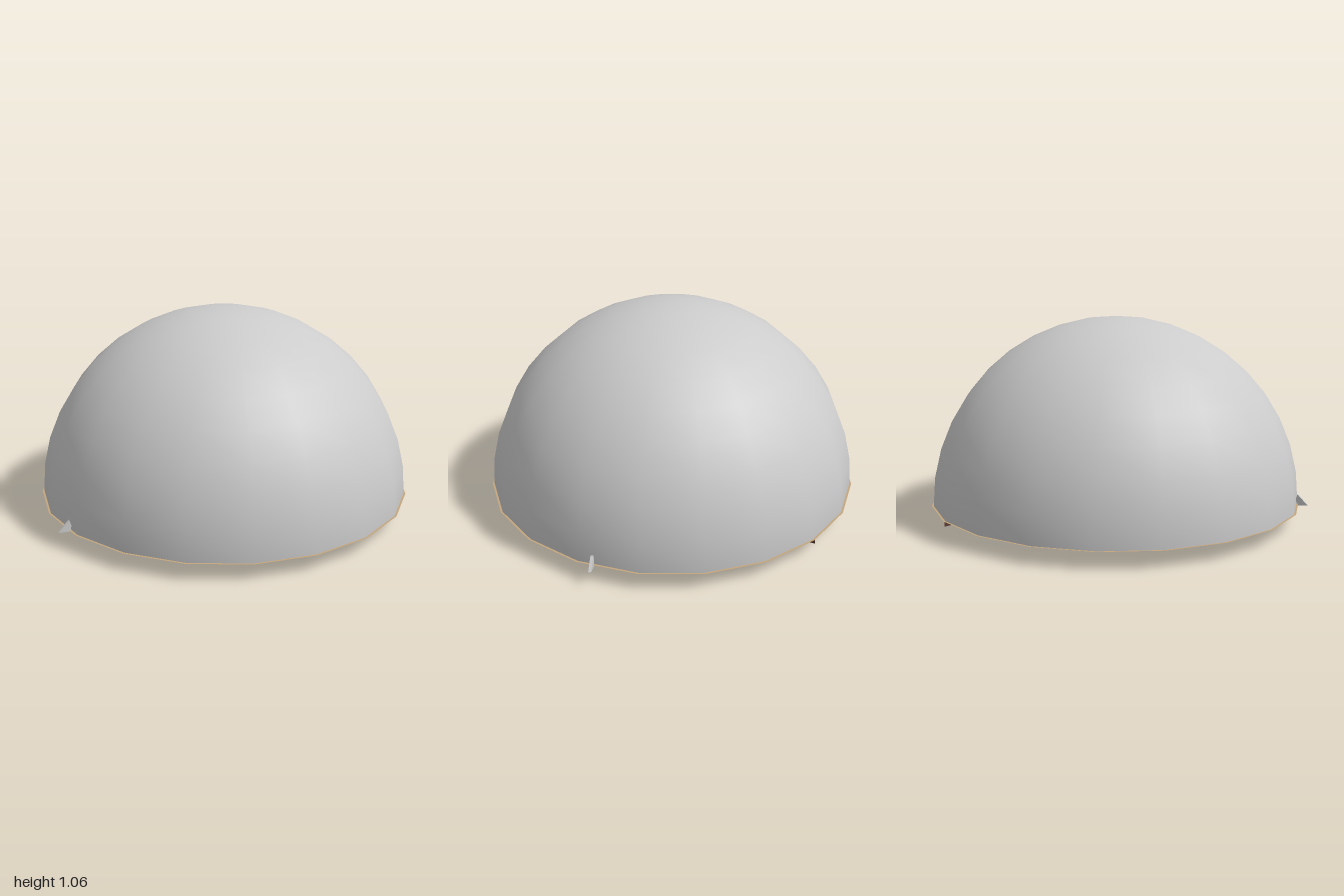
import * as THREE from 'three';

const BASE = 0.085; // height of the flat underside

function part(name, geometry, color = 0xcccccc, options = {}) {
  const material = new THREE.MeshStandardMaterial({ color, ...options });
  const mesh = new THREE.Mesh(geometry, material);
  mesh.name = name;
  return mesh;
}

const outline = (points) => new THREE.Shape(points.map(([x, y]) => new THREE.Vector2(x, y)));
const slab = (points, depth) =>
  new THREE.ExtrudeGeometry(outline(points), { depth, bevelEnabled: false });

export function createModel() {
  const model = new THREE.Group();
  model.name = 'dome';

  // smooth half sphere, 20 sides and 10 rings
  const shell = part('domeShell',
    new THREE.SphereGeometry(0.975, 20, 10, 0, Math.PI * 2, 0, Math.PI / 2));
  shell.position.y = BASE;
  model.add(shell);

  // thin base disc, slightly wider than the shell
  const disc = part('baseDisc', new THREE.CircleGeometry(0.985, 20), 0xc4a67c,
    { side: THREE.DoubleSide });
  disc.rotation.x = Math.PI / 2;
  disc.position.y = BASE;
  model.add(disc);

  // shallow blade across the underside, with pointed ends rising past the rim
  const blade = part('blade', slab([
    [-1, 0.08], [0.17, 0], [0.3, 0], [1, 0.08],
    [0.945, 0.135], [0.93, 0.09], [-0.93, 0.09], [-0.945, 0.135],
  ], 0.014), 0xcccccc, { flatShading: true });
  blade.position.z = 0.218;
  model.add(blade);

  // narrow ledge along the back of the blade's lower edge
  const ledge = part('bladeLedge', slab([
    [-0.7, 0.225], [-0.47, 0.185], [-0.24, 0.185], [0, 0.215], [0, 0.225],
  ], 0.012), 0xcccccc, { flatShading: true });
  ledge.rotation.x = Math.PI / 2;
  const p = ledge.geometry.attributes.position;
  // the ledge follows the slope of the lower edge
  for (let i = 0; i < p.count; i++) {
    p.setZ(i, p.getZ(i) - 0.024 - 0.068 * (0.17 - p.getX(i)) + 0.0);
  }
  ledge.geometry.computeVertexNormals();
  model.add(ledge);

  // dark bent strip lying on the underside, tapering to a point at the back
  const strip = part('bentStrip', slab([
    [0.57, -0.8], [0.37, -0.13], [0.46, -0.01], [0.42, 0.12], [0.28, 0.345],
    [0.17, 0.345], [0.165, 0.24], [0.22, 0.11], [0.37, 0.03], [0.37, -0.03], [0.31, -0.11],
  ], 0.025), 0x5a3a2e, { flatShading: true });
  strip.rotation.x = Math.PI / 2;
  strip.position.y = BASE;
  model.add(strip);

  return model;
}
